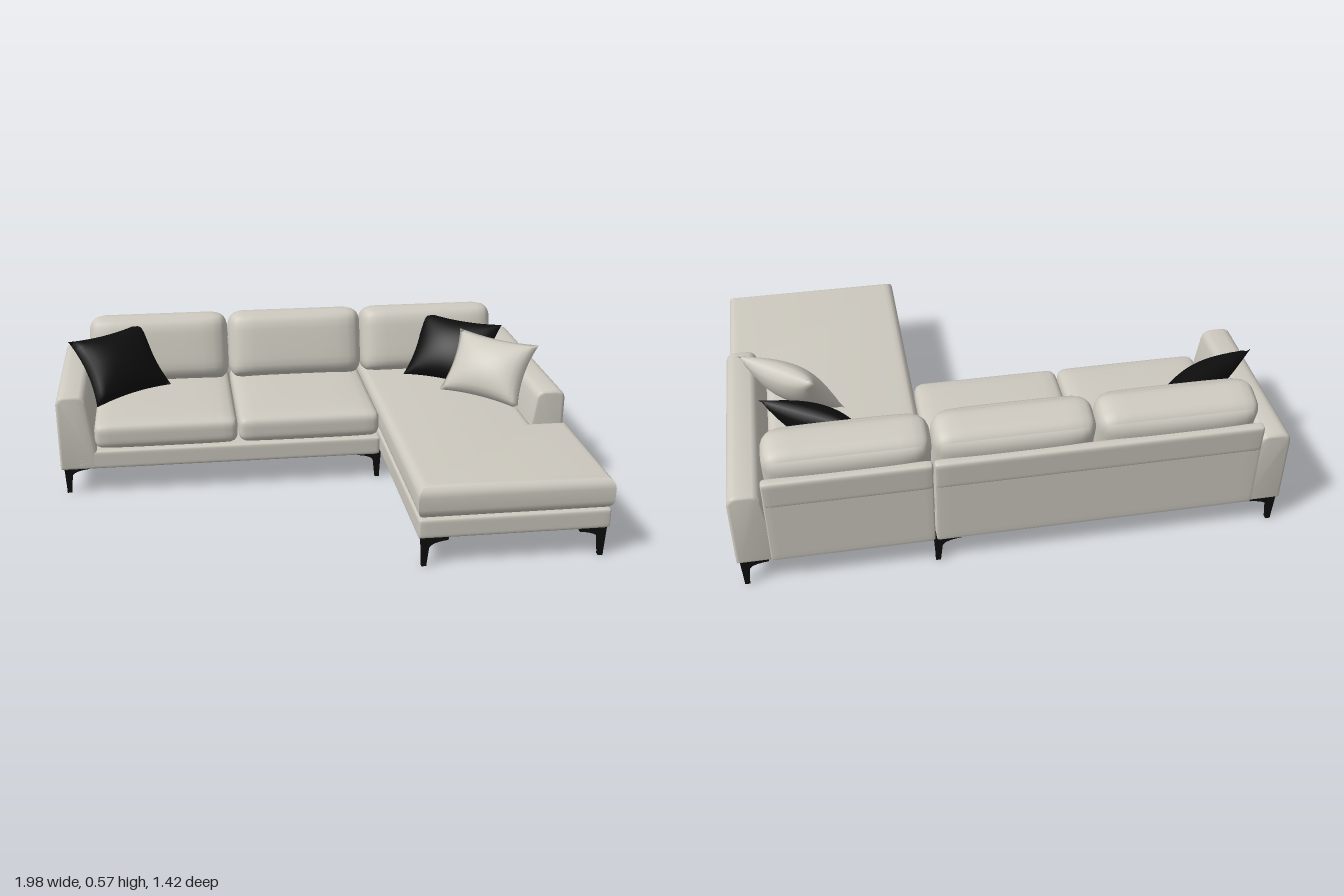
import * as THREE from 'three';
import { mergeVertices, mergeGeometries, toCreasedNormals } from 'three/addons/utils/BufferGeometryUtils.js';

const fabric = new THREE.MeshStandardMaterial({ color: 0xcdc9bf });
fabric.name = 'warm grey fabric';
const black = new THREE.MeshStandardMaterial({ color: 0x0e0e0e });
black.name = 'black';

function add(parent, name, geometry, material = fabric) {
  const mesh = new THREE.Mesh(geometry, material);
  mesh.name = name;
  parent.add(mesh);
  return mesh;
}

function smooth(geometry) {
  geometry.deleteAttribute('normal');
  geometry.deleteAttribute('uv');
  const merged = mergeVertices(geometry, 1e-5);
  merged.computeVertexNormals();
  return merged;
}

// Rounded box whose large faces swell towards the middle along one axis
function softBox(size, radius, puff = 0, axis = 'y') {
  const geo = new THREE.BoxGeometry(2, 2, 2, 14, 14, 14);
  const pos = geo.attributes.position;
  const half = new THREE.Vector3(...size).multiplyScalar(0.5);
  const limit = half.clone().subScalar(radius);
  const p = new THREE.Vector3(), inner = new THREE.Vector3();
  for (let i = 0; i < pos.count; i++) {
    p.fromBufferAttribute(pos, i);
    for (const k of ['x', 'y', 'z']) p[k] = Math.sin(p[k] * Math.PI / 2);
    const n = p.clone();
    p.multiply(half);
    inner.copy(p).clamp(limit.clone().negate(), limit);
    p.sub(inner).normalize().multiplyScalar(radius).add(inner);
    let swell = puff * n[axis];
    for (const k of ['x', 'y', 'z']) if (k !== axis) swell *= 1 - n[k] ** 4;
    p[axis] += swell;
    pos.setXYZ(i, p.x, p.y, p.z);
  }
  return smooth(geo);
}

// Soft box given by its lower and upper corners
function block(parent, name, a, b, radius, puff = 0) {
  const mesh = add(parent, name, softBox(a.map((v, i) => b[i] - v), radius, puff));
  mesh.position.set(...a.map((v, i) => (v + b[i]) / 2));
  return mesh;
}

// Arm: upright outside, sloping inside, rounded along the top
function armGeometry(side, front) {
  const e = 0.012, back = -0.7;
  const s = new THREE.Shape();
  s.moveTo(side * (0.99 - e), 0.11 + e);
  s.lineTo(side * (0.99 - e), 0.38);
  s.quadraticCurveTo(side * (0.99 - e), 0.42 - e, side * 0.95, 0.42 - e);
  s.lineTo(side * 0.91, 0.42 - e);
  s.quadraticCurveTo(side * (0.878 + e), 0.42 - e, side * (0.872 + e), 0.385);
  s.lineTo(side * (0.845 + e), 0.2);
  s.lineTo(side * (0.845 + e), 0.11 + e);
  const geo = new THREE.ExtrudeGeometry(s, {
    depth: front - back - 2 * e, bevelThickness: e, bevelSize: e, bevelSegments: 3, curveSegments: 6,
  });
  geo.translate(0, 0, back + e);
  return toCreasedNormals(geo, 0.6);
}

// Long seat cushion that widens in front of the arm
function chaiseCushionGeometry() {
  const r = 0.04;
  const pts = [[0.287, 0.705], [0.992, 0.705], [0.992, 0.165], [0.85, 0.165], [0.85, -0.66], [0.287, -0.66]];
  const inset = [[r, -r], [-r, -r], [-r, r], [-r, r], [-r, r], [r, r]];
  const s = new THREE.Shape(pts.map(([x, z], i) => new THREE.Vector2(x + inset[i][0], -(z + inset[i][1]))));
  const geo = new THREE.ExtrudeGeometry(s, {
    depth: 0.125 - 2 * r, bevelThickness: r, bevelSize: r, bevelSegments: 6,
  });
  geo.rotateX(-Math.PI / 2);
  geo.translate(0, 0.187 + r, 0);
  return toCreasedNormals(geo, 0.6);
}

// Scatter pillow: thin seams, pointed corners and a plump middle
function pillow(parent, name, centre, across, up, material) {
  const u = new THREE.Vector3(...across), v = new THREE.Vector3(...up);
  const w = u.length() / 2, h = v.length() / 2;
  const geo = new THREE.BoxGeometry(2, 2, 2, 16, 16, 1);
  const pos = geo.attributes.position;
  for (let i = 0; i < pos.count; i++) {
    const x = pos.getX(i), y = pos.getY(i), z = pos.getZ(i);
    const fat = Math.pow(Math.max(0, (1 - x * x) * (1 - y * y)), 0.55);
    pos.setXYZ(i, w * x * (1.03 - 0.12 * (1 - y * y)), h * y * (1.03 - 0.1 * (1 - x * x)), 0.065 * z * fat);
  }
  const mesh = add(parent, name, smooth(geo), material);
  u.normalize();
  const n = u.clone().cross(v).normalize();
  mesh.quaternion.setFromRotationMatrix(new THREE.Matrix4().makeBasis(u, n.clone().cross(u), n));
  mesh.position.set(...centre);
}

// Leg: two tapered blades at right angles, each flaring into a bracket
function legGeometry(dx, dz) {
  const s = new THREE.Shape();
  s.moveTo(-0.008, 0);
  s.lineTo(0.008, 0);
  s.lineTo(0.016, 0.07);
  s.quadraticCurveTo(0.02, 0.093, 0.085, 0.1);
  s.lineTo(0.085, 0.113);
  s.lineTo(-0.014, 0.113);
  const blade = () => new THREE.ExtrudeGeometry(s, { depth: 0.018, bevelEnabled: false }).translate(0, 0, -0.009);
  return mergeGeometries([
    blade().rotateY(dx > 0 ? 0 : Math.PI),
    blade().rotateY(dz > 0 ? -Math.PI / 2 : Math.PI / 2),
  ]);
}

export function createModel() {
  const sofa = new THREE.Group();
  sofa.name = 'cornerSofa';

  // Base frames
  block(sofa, 'mainBase', [-0.93, 0.11, -0.69], [0.288, 0.187, -0.035], 0.012);
  block(sofa, 'chaiseBase', [0.292, 0.11, -0.69], [0.9, 0.187, 0.695], 0.012);
  block(sofa, 'chaiseFrontBase', [0.292, 0.11, 0.1], [0.99, 0.187, 0.695], 0.012);

  // Arms
  add(sofa, 'rightArm', armGeometry(-1, -0.035));
  add(sofa, 'leftArm', armGeometry(1, 0.13));

  // Back panels with a lip standing above the arms
  for (const [x0, x1] of [[-0.88, 0.288], [0.292, 0.87]]) {
    block(sofa, 'backPanel', [x0, 0.11, -0.705], [x1, 0.43, -0.665], 0.01);
    const lip = block(sofa, 'backLip', [x0, 0.36, -0.71], [x1, 0.475, -0.672], 0.014);
    lip.rotation.x = -0.06;
  }

  // Seat cushions
  for (const [x0, x1] of [[-0.85, -0.287], [-0.283, 0.283]]) {
    block(sofa, 'seatCushion', [x0, 0.195, -0.66], [x1, 0.302, -0.02], 0.035, 0.01);
  }
  add(sofa, 'chaiseCushion', chaiseCushionGeometry());

  // Leaning back cushions
  for (const [x0, x1] of [[-0.875, -0.292], [-0.288, 0.283], [0.287, 0.862]]) {
    const cushion = add(sofa, 'backCushion', softBox([x1 - x0, 0.29, 0.17], 0.06, 0.015, 'z'));
    cushion.position.set((x0 + x1) / 2, 0.425, -0.572);
    cushion.rotation.x = -0.27;
  }

  // Scatter pillows
  pillow(sofa, 'blackPillow', [-0.745, 0.43, -0.37], [0.29, 0.01, -0.195], [-0.1, 0.225, -0.145], black);
  pillow(sofa, 'blackPillow', [0.655, 0.43, -0.37], [0.29, -0.01, 0.195], [0.1, 0.225, -0.145], black);
  pillow(sofa, 'fabricPillow', [0.745, 0.435, -0.12], [0.26, -0.01, 0.22], [0.12, 0.215, -0.1], fabric);

  // Legs: x, z and the direction of the brackets
  const legs = [
    [-0.965, -0.682, 1, 1], [-0.965, -0.072, 1, -1], [0.283, -0.682, -1, 1], [0.283, -0.072, -1, -1],
    [0.965, -0.682, -1, 1], [0.965, 0.072, -1, -1], [0.965, 0.68, -1, -1], [0.317, 0.68, 1, -1],
  ];
  for (const [x, z, dx, dz] of legs) add(sofa, 'leg', legGeometry(dx, dz), black).position.set(x, 0, z);

  return sofa;
}
